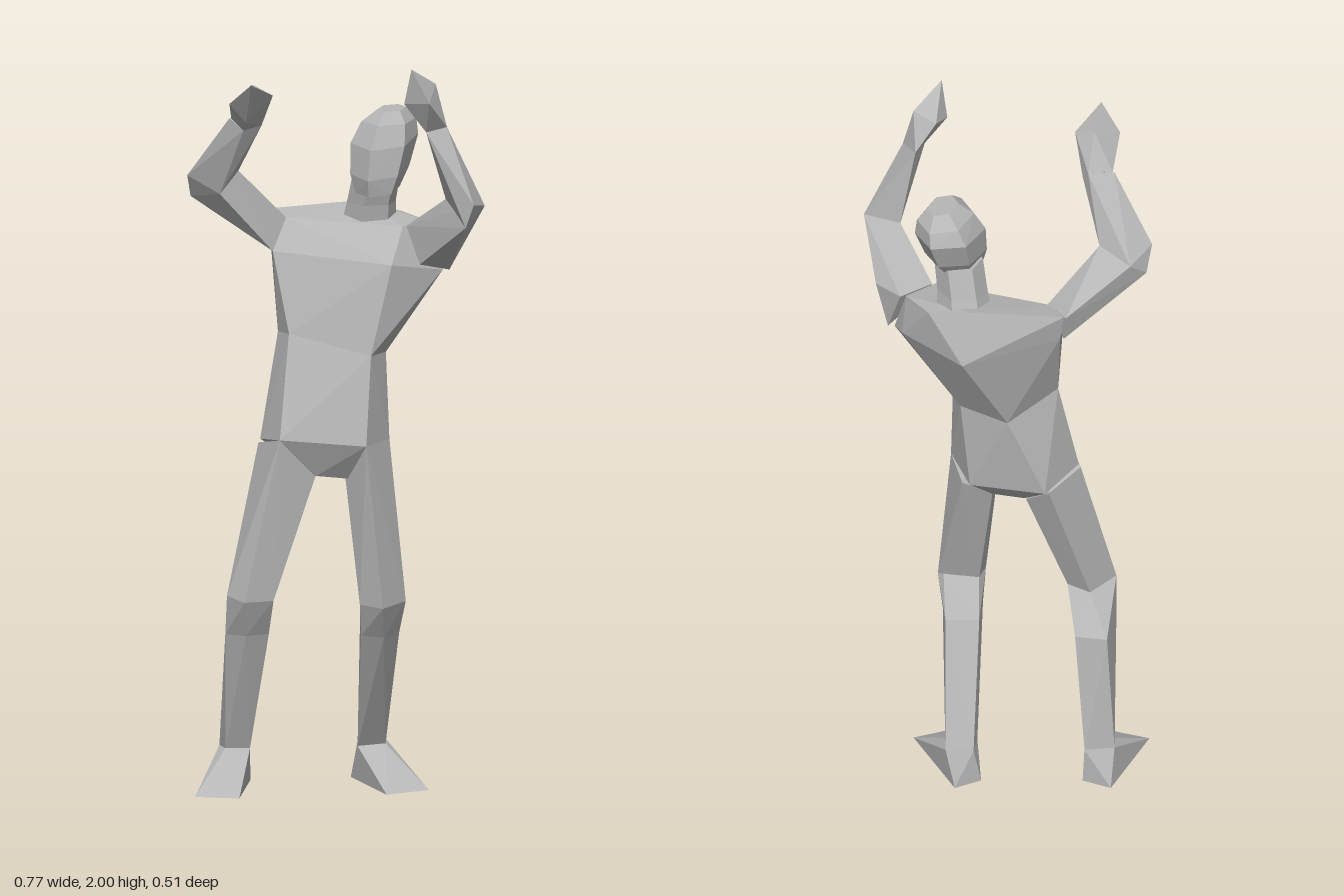
import * as THREE from 'three';
import { ConvexGeometry } from 'three/addons/geometries/ConvexGeometry.js';
import { mergeGeometries } from 'three/addons/utils/BufferGeometryUtils.js';

const skin = new THREE.MeshStandardMaterial({ color: 0xb6b6b6, flatShading: true });
skin.name = 'plain grey';

// Faceted skin over a chain of cross-sections: one hull per neighbouring pair
function body(name, rings) {
  const hulls = [];
  for (let i = 0; i + 1 < rings.length; i++) {
    const points = [...rings[i], ...rings[i + 1]].map((p) => new THREE.Vector3(...p));
    hulls.push(new ConvexGeometry(points));
  }
  const mesh = new THREE.Mesh(mergeGeometries(hulls), skin);
  mesh.name = name;
  return mesh;
}

// Six-sided section turned towards the way the face looks; tilt lowers its front
function section(cx, cy, cz, halfWidth, halfDepth, tilt = 0) {
  const yaw = -0.46;
  const ring = [];
  for (let i = 0; i < 6; i++) {
    const a = (i * Math.PI) / 3 + Math.PI / 6;
    const s = Math.cos(a) * halfWidth * 1.12;
    const f = Math.sin(a) * halfDepth;
    ring.push([
      cx + s * Math.cos(yaw) + f * Math.sin(yaw),
      cy - tilt * f,
      cz - s * Math.sin(yaw) + f * Math.cos(yaw),
    ]);
  }
  return ring;
}

export function createModel() {
  const figure = new THREE.Group();
  figure.name = 'figure';

  // Twisted torso, from crotch to shoulders
  figure.add(body('torso', [
    [[-0.055, 0.865, 0.05], [0.03, 0.855, 0.05], [0.04, 0.86, -0.06], [-0.045, 0.86, -0.08]],
    [[-0.156, 0.97, 0.076], [0.07, 0.955, 0.12], [0.15, 0.95, 0], [0.1, 0.92, -0.105],
      [-0.1, 0.915, -0.14], [-0.19, 0.95, -0.05]],
    [[-0.118, 1.24, -0.015], [0.09, 1.19, 0.07], [0.145, 1.18, -0.03], [0.125, 1.18, -0.11],
      [0, 1.155, -0.155], [-0.135, 1.23, -0.1]],
    [[-0.15, 1.45, -0.09], [-0.115, 1.44, -0.075], [0.15, 1.43, 0.045], [0.3, 1.395, -0.045],
      [0.28, 1.41, -0.1], [0.12, 1.41, -0.257], [-0.14, 1.46, -0.2]],
    [[-0.107, 1.53, -0.14], [0.19, 1.52, -0.027], [0.27, 1.52, -0.085], [0.21, 1.53, -0.18],
      [0.1, 1.555, -0.215], [-0.06, 1.545, -0.215], [-0.15, 1.54, -0.215]],
  ]));

  // Neck, then the head looking towards its right
  figure.add(body('neck', [
    section(0.115, 1.5, -0.145, 0.068, 0.072),
    section(0.12, 1.57, -0.125, 0.06, 0.064),
    section(0.13, 1.65, -0.1, 0.058, 0.064),
  ]));
  figure.add(body('head', [
    section(0.128, 1.615, -0.068, 0.052, 0.075, 0.12),
    section(0.137, 1.665, -0.085, 0.068, 0.105, 0.12),
    section(0.152, 1.745, -0.105, 0.078, 0.118, 0.1),
    section(0.165, 1.795, -0.11, 0.063, 0.095),
    section(0.172, 1.826, -0.105, 0.033, 0.055),
  ]));

  // Raised arms: shoulder, elbow, wrist, knuckles
  figure.add(body('leftArm', [
    [[0.2, 1.52, -0.03], [0.285, 1.52, -0.09], [0.318, 1.395, -0.045], [0.225, 1.43, 0.045],
      [0.35, 1.51, -0.014]],
    [[0.382, 1.61, 0.165], [0.34, 1.63, 0.25], [0.32, 1.565, 0.235], [0.285, 1.62, 0.11]],
    [[0.278, 1.83, 0.18], [0.245, 1.84, 0.12], [0.22, 1.82, 0.195]],
  ]));
  figure.add(body('leftHand', [
    [[0.278, 1.83, 0.18], [0.245, 1.84, 0.12], [0.22, 1.82, 0.195]],
    [[0.16, 1.9, 0.2], [0.19, 1.92, 0.14], [0.25, 1.945, 0.165], [0.22, 1.91, 0.253],
      [0.175, 2, 0.23]],
  ]));
  figure.add(body('rightArm', [
    [[-0.155, 1.54, -0.22], [-0.107, 1.53, -0.14], [-0.15, 1.45, -0.09], [-0.15, 1.46, -0.2]],
    [[-0.37, 1.605, -0.1], [-0.385, 1.67, -0.06], [-0.245, 1.675, -0.075],
      [-0.327, 1.65, -0.137], [-0.3, 1.62, -0.04]],
    [[-0.285, 1.84, 0.03], [-0.215, 1.85, 0.01], [-0.25, 1.81, 0.05], [-0.2, 1.82, 0.04]],
  ]));
  figure.add(body('rightHand', [
    [[-0.28, 1.84, 0.03], [-0.215, 1.85, 0.01], [-0.25, 1.81, 0.05], [-0.2, 1.82, 0.04]],
    [[-0.3, 1.9, 0.13], [-0.25, 1.96, 0.185], [-0.18, 1.915, 0.11], [-0.25, 1.84, 0.1],
      [-0.23, 1.94, 0.08]],
  ]));

  // Bent legs: hip, knee, calf, ankle; each foot is splayed outwards
  const leftAnkle = [[0.08, 0.095, -0.105], [0.155, 0.1, -0.105], [0.165, 0.1, -0.16], [0.09, 0.1, -0.165]];
  const rightAnkle = [[-0.285, 0.1, -0.15], [-0.275, 0.1, -0.105], [-0.21, 0.1, -0.1], [-0.205, 0.1, -0.16]];
  figure.add(body('leftLeg', [
    [[0.07, 0.955, 0.12], [0.15, 0.95, 0], [0.12, 0.91, -0.08], [0.025, 0.86, 0.04], [0.04, 0.86, -0.06]],
    [[0.057, 0.52, 0.09], [0.11, 0.52, 0.155], [0.185, 0.52, 0.06], [0.17, 0.53, 0.042], [0.075, 0.52, 0.04]],
    [[0.065, 0.43, 0.06], [0.12, 0.43, 0.1], [0.172, 0.43, 0.03], [0.165, 0.43, -0.03], [0.075, 0.43, -0.03]],
    leftAnkle,
  ]));
  figure.add(body('leftFoot', [
    leftAnkle,
    [[0.07, 0, -0.16], [0.14, 0, -0.195], [0.25, 0, 0.04], [0.13, 0, 0.085]],
  ]));
  figure.add(body('rightLeg', [
    [[-0.156, 0.97, 0.076], [-0.195, 0.94, -0.05], [-0.11, 0.91, -0.13], [-0.055, 0.865, 0.045],
      [-0.05, 0.86, -0.085]],
    [[-0.29, 0.54, 0.02], [-0.25, 0.53, 0.07], [-0.17, 0.53, 0.055], [-0.16, 0.54, -0.02],
      [-0.22, 0.53, -0.045]],
    [[-0.29, 0.43, -0.01], [-0.24, 0.43, 0.025], [-0.175, 0.43, 0.005], [-0.18, 0.435, -0.115],
      [-0.265, 0.435, -0.13]],
    rightAnkle,
  ]));
  figure.add(body('rightFoot', [
    rightAnkle,
    [[-0.2, 0, -0.16], [-0.275, 0, -0.195], [-0.378, 0, 0.037], [-0.265, 0, 0.076]],
  ]));

  return figure;
}
